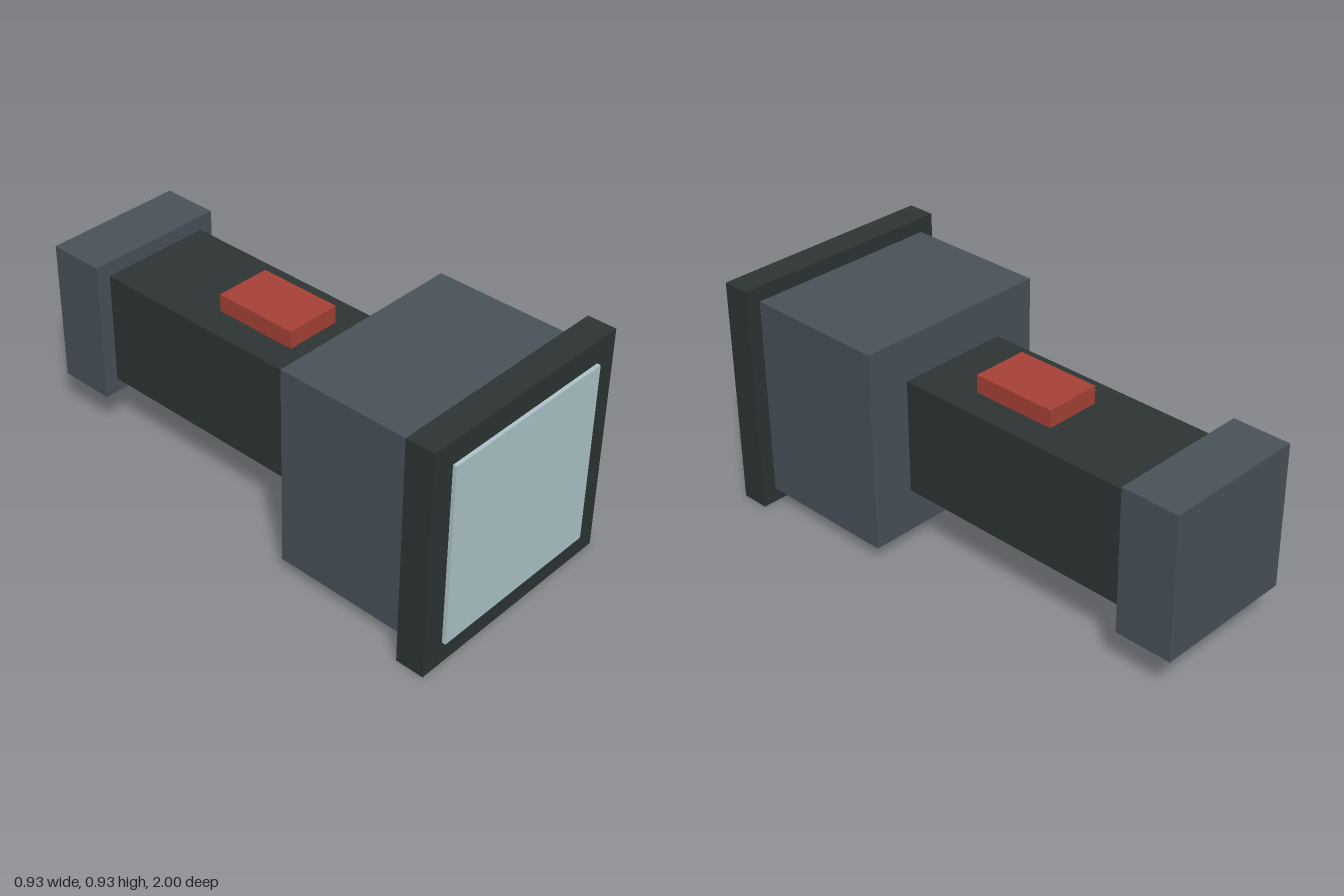
import * as THREE from 'three';

const mat = (name, color) => {
  const m = new THREE.MeshStandardMaterial({ color });
  m.name = name;
  return m;
};

export function createModel() {
  const group = new THREE.Group();
  group.name = 'flashlight';

  const slate = mat('slate', 0x4a525b);
  const charcoal = mat('charcoal', 0x2d3534);
  const glass = mat('paleGlass', 0xafc6cb);
  const red = mat('red', 0xa84236);

  const axisY = 0.466; // height of the long axis

  // Box spanning z0..z1, centred on x = 0
  const box = (name, material, width, height, z0, z1, y = axisY) => {
    const mesh = new THREE.Mesh(new THREE.BoxGeometry(width, height, z1 - z0), material);
    mesh.name = name;
    mesh.position.set(0, y, (z0 + z1) / 2);
    group.add(mesh);
  };

  box('tailCap', slate, 0.582, 0.582, -1, -0.767);
  box('handle', charcoal, 0.465, 0.465, -0.767, 0.285);
  box('head', slate, 0.815, 0.815, 0.285, 0.87);
  box('bezel', charcoal, 0.932, 0.932, 0.87, 0.985);
  box('lens', glass, 0.746, 0.746, 0.985, 1);
  // Slide switch on top of the handle
  box('switchButton', red, 0.23, 0.071, -0.3, 0.05, 0.734);

  return group;
}
